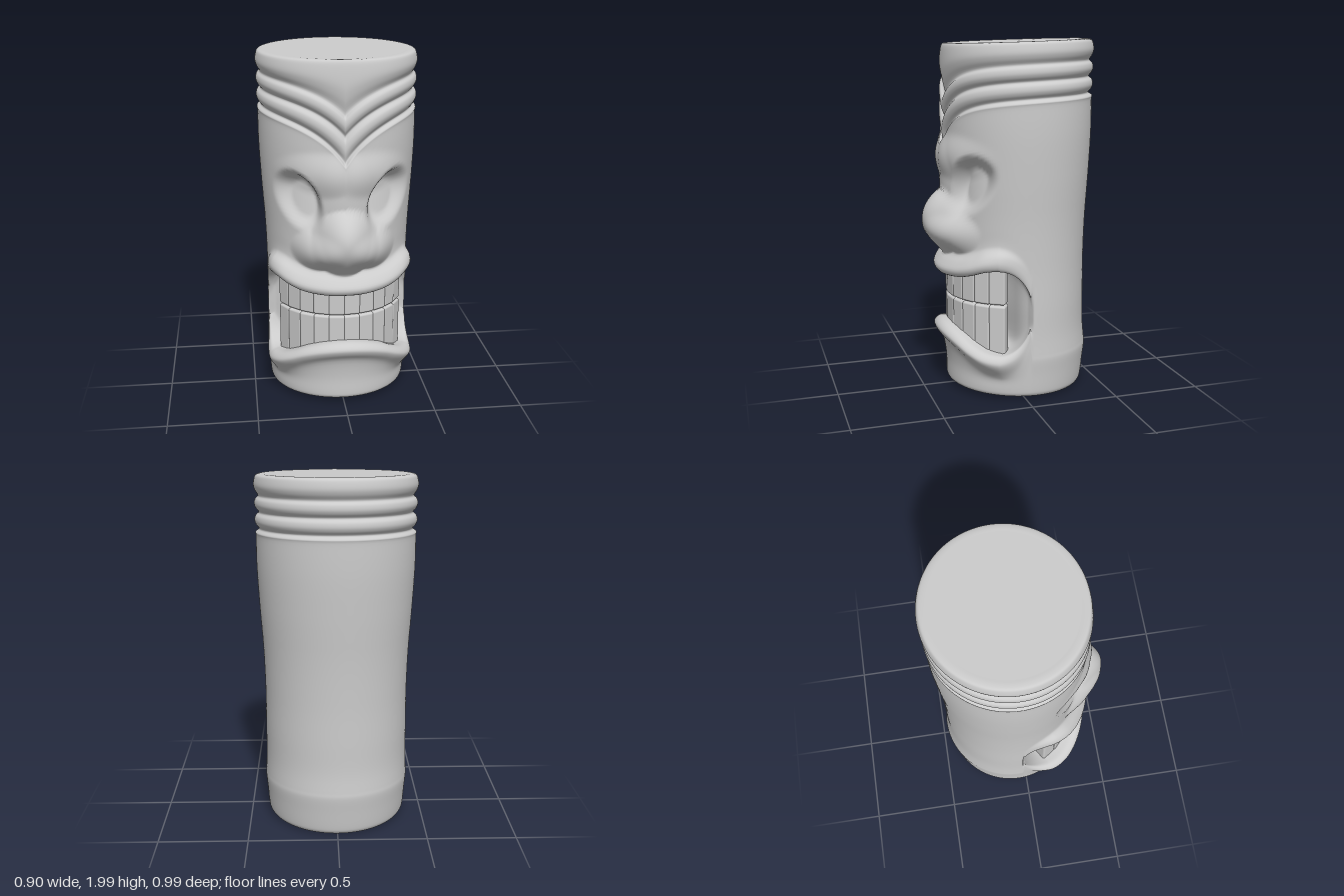
import * as THREE from 'three';
import { RoundedBoxGeometry } from 'three/addons/geometries/RoundedBoxGeometry.js';

const AXIS_Z = -0.06;
const MOUTH_END = 86; // degrees from the front
const lerp = THREE.MathUtils.lerp;

// Smooth lookup in a table of evenly spaced values
function lookup(table, step, v) {
  const n = table.length - 1;
  const t = THREE.MathUtils.clamp(v / step, 0, n);
  const i = Math.min(Math.floor(t), n - 1), f = t - i;
  const at = (k) => table[Math.min(Math.abs(k), n)];
  const m0 = (at(i + 1) - at(i - 1)) / 2, m1 = (at(i + 2) - at(i)) / 2;
  const f2 = f * f, f3 = f2 * f;
  return at(i) * (2 * f3 - 3 * f2 + 1) + m0 * (f3 - 2 * f2 + f) + at(i + 1) * (3 * f2 - 2 * f3) + m1 * (f3 - f2);
}

// Log radius by height, mouth outline and depth by angle from the front (every 10 degrees)
const LOG = [0.397, 0.405, 0.409, 0.408, 0.415, 0.431, 0.443, 0.443, 0.45];
const MOUTH_TOP = [0.69, 0.69, 0.695, 0.705, 0.725, 0.75, 0.76];
const MOUTH_LOW = [0.4, 0.395, 0.38, 0.355, 0.32, 0.29, 0.275];
const MOUTH_IN = [0.14, 0.14, 0.15, 0.16, 0.17, 0.18, 0.2, 0.25, 0.34, 0.41];
const LIP = [0.48, 0.48, 0.48, 0.483, 0.487, 0.487, 0.475, 0.445, 0.418, 0.41];

function logRadius(y, a) {
  const c = Math.cos(a), taper = c > 0 ? 0.025 : 0.019;
  const foot = 0.02 * Math.exp(-(((y - 0.2) / 0.13) ** 2)) * (1 - c) / 2;
  return lookup(LOG, 0.25, y) * (1 - taper * c * c * y) + 0.015 * c * (1 - y / 2) + foot;
}

// Lower and upper edge of the mouth; the corner closes as a quarter ellipse
function mouthEdges(deg) {
  const low = lookup(MOUTH_LOW, 10, deg), top = lookup(MOUTH_TOP, 10, deg);
  if (deg < 60) return [low, top];
  const half = (top - low) / 2 * Math.sqrt(1 - ((deg - 60) / (MOUTH_END - 60)) ** 2);
  return [0.515 - half, 0.515 + half];
}

// Vertical profile of the log at one angle: [radius, height] from base to top
function profile(a) {
  const abs = Math.abs(a), deg = THREE.MathUtils.radToDeg(abs), c = Math.cos(a);
  const R = (y, d = 0) => logRadius(y, a) + d;
  const yb = 0.02 + 0.012 * c, yt = 1.987 - 0.013 * c;
  const behind = deg >= MOUTH_END - 0.5;
  const [low, top] = behind ? [0.37, 0.65] : mouthEdges(deg);
  const p = [];
  const add = (r, y) => p.push(new THREE.Vector2(r, y));
  // base
  add(R(0) - 0.05, yb);
  add(R(0) - 0.02, yb);
  add(R(0) - 0.004, yb + 0.015);
  add(R(0.05), yb + 0.045);
  add(R(0.12), lerp(yb, low, 0.38));
  if (behind) {
    // plain back
    for (let i = 0; i < 15; i++) { const y = lerp(0.23, 0.75, i / 14); add(R(y), y); }
  } else {
    // lower lip, mouth hollow, upper lip
    const lip = lookup(LIP, 10, deg), inner = lookup(MOUTH_IN, 10, deg);
    const out = Math.max(0, lip - R(0.5)), upperLip = lip - 0.25 * out * Math.sin(a) ** 2;
    add(R(low - 0.12, out * 0.25), low - 0.12);
    add(R(low - 0.065, out * 0.85), low - 0.065);
    add(lip, low - 0.03);
    add(lerp(lip, inner, 0.1), low);
    add(lerp(lip, inner, 0.3), low + 0.003);
    add(lerp(lip, inner, 0.65), low + 0.006);
    for (const f of [0.1, 0.5, 0.9]) add(inner, lerp(low, top, f));
    add(lerp(upperLip, inner, 0.65), top - 0.006);
    add(lerp(upperLip, inner, 0.3), top - 0.003);
    add(lerp(upperLip, inner, 0.07), top);
    add(upperLip, top + 0.037);
    add(R(top + 0.08, out * 0.65), top + 0.08);
    add(R(top + 0.115, out * 0.12), top + 0.115);
  }
  // face, up to the chevron bands
  const dip = Math.exp(-abs / 0.42), back = 0.01 * (1 - c);
  const grooves = [1.685 - 0.255 * dip + back, 1.775 - 0.205 * dip + back, 1.865 - 0.175 * dip + back];
  const y0 = top + 0.15, y1 = grooves[0] - 0.04;
  for (let i = 0; i <= 10; i++) { const y = lerp(y0, y1, i / 10); add(R(y), y); }
  add(R(1.65, 0.002), grooves[0] - 0.018);
  // three raised bands above the grooves
  grooves.forEach((g, i) => {
    const end = i < 2 ? grooves[i + 1] : yt, h = end - g;
    add(R(g, -0.018), g);
    add(R(g, -0.002), g + h * 0.25);
    add(R(g, 0.006), g + h * 0.5);
    add(R(g, 0.001), g + h * 0.78);
  });
  add(R(2) - 0.012, yt - 0.006);
  add(R(2) - 0.035, yt);
  add(R(2) - 0.06, yt);
  return p;
}

const dome = (x, y, cx, cy, rx, ry, power) =>
  Math.pow(Math.max(0, 1 - ((x - cx) / rx) ** 2 - ((y - cy) / ry) ** 2), power);

// Raised nose and brows; nose tip and wings melt together
function faceRelief(x, y) {
  const ax = Math.abs(x);
  const tip = 0.125 * dome(x, y, 0, 0.98, 0.19, 0.19, 0.9);
  const wing = 0.085 * dome(ax, y, 0.14, 0.935, 0.15, 0.12, 1.2);
  const bridge = 0.025 * dome(x, y, 0, 1.17, 0.16, 0.34, 1.3);
  const brow = 0.03 * dome(ax, y, 0.14, 1.36, 0.25, 0.13, 1.5);
  return Math.hypot(tip, wing) + bridge + brow;
}

// Slanted eye socket, steep at the brow and nose, shallow towards the cheek
function eyeDepth(x, y) {
  const dx = Math.abs(x) - 0.245, dy = y - 1.21;
  const along = (dx * 0.42 + dy * 0.91) / 0.18, across = (dx * 0.91 - dy * 0.42) / 0.112;
  const d = Math.hypot(along, across);
  const depth = THREE.MathUtils.clamp(0.065 + 0.02 * along - 0.025 * across, 0.03, 0.09);
  return depth * (1 - THREE.MathUtils.smoothstep(d, 0.55, 1.06));
}

function logGeometry() {
  const columns = 240, perSpan = 4, pos = [], index = [];
  let rows = 0;
  for (let i = 0; i < columns; i++) {
    const a = (i / columns) * Math.PI * 2, s = a > Math.PI ? a - Math.PI * 2 : a;
    const knots = profile(s);
    const line = new THREE.SplineCurve(knots).getPoints((knots.length - 1) * perSpan);
    line.unshift(new THREE.Vector2(0, 0.02));
    line.push(new THREE.Vector2(0, 1.987));
    rows = line.length;
    for (const { x: r, y } of line) {
      let x = r * Math.sin(s), z = r * Math.cos(s);
      if (z > 0 && y > 0.78 && y < 1.6) {
        const k = 1 - eyeDepth(x, y) / r, lift = faceRelief(x, y);
        x *= k;
        z = z * k + lift;
      }
      pos.push(x, y, z + AXIS_Z);
    }
  }
  for (let i = 0; i < columns; i++) {
    for (let j = 0; j < rows - 1; j++) {
      const p = i * rows + j, q = ((i + 1) % columns) * rows + j;
      if (j < rows - 2) index.push(p, q, q + 1, p, q + 1, p + 1);
      else index.push(p, q, p + 1);
    }
  }
  const g = new THREE.BufferGeometry();
  g.setAttribute('position', new THREE.Float32BufferAttribute(pos, 3));
  g.setIndex(index);
  g.computeVertexNormals();
  return g;
}

export function createModel() {
  const group = new THREE.Group();
  const material = new THREE.MeshStandardMaterial({ color: 0xcccccc });

  const log = new THREE.Mesh(logGeometry(), material);
  log.name = 'carvedLog';
  group.add(log);

  // Two rows of teeth set on an arc
  const rowsOfTeeth = [['lowerTeeth', 0.24, 0.546], ['upperTeeth', 0.553, 0.81]];
  for (const [name, y0, y1] of rowsOfTeeth) {
    const row = new THREE.Group();
    row.name = name;
    const geometry = new RoundedBoxGeometry(0.094, y1 - y0, 0.08, 3, 0.012);
    for (let i = 0; i < 10; i++) {
      const a = THREE.MathUtils.degToRad((i - 4.5) * 13);
      const tooth = new THREE.Mesh(geometry, material);
      tooth.name = 'tooth';
      tooth.position.set(0.345 * Math.sin(a), (y0 + y1) / 2, AXIS_Z + 0.37 * Math.cos(a));
      tooth.rotation.y = a;
      row.add(tooth);
    }
    group.add(row);
  }
  return group;
}
